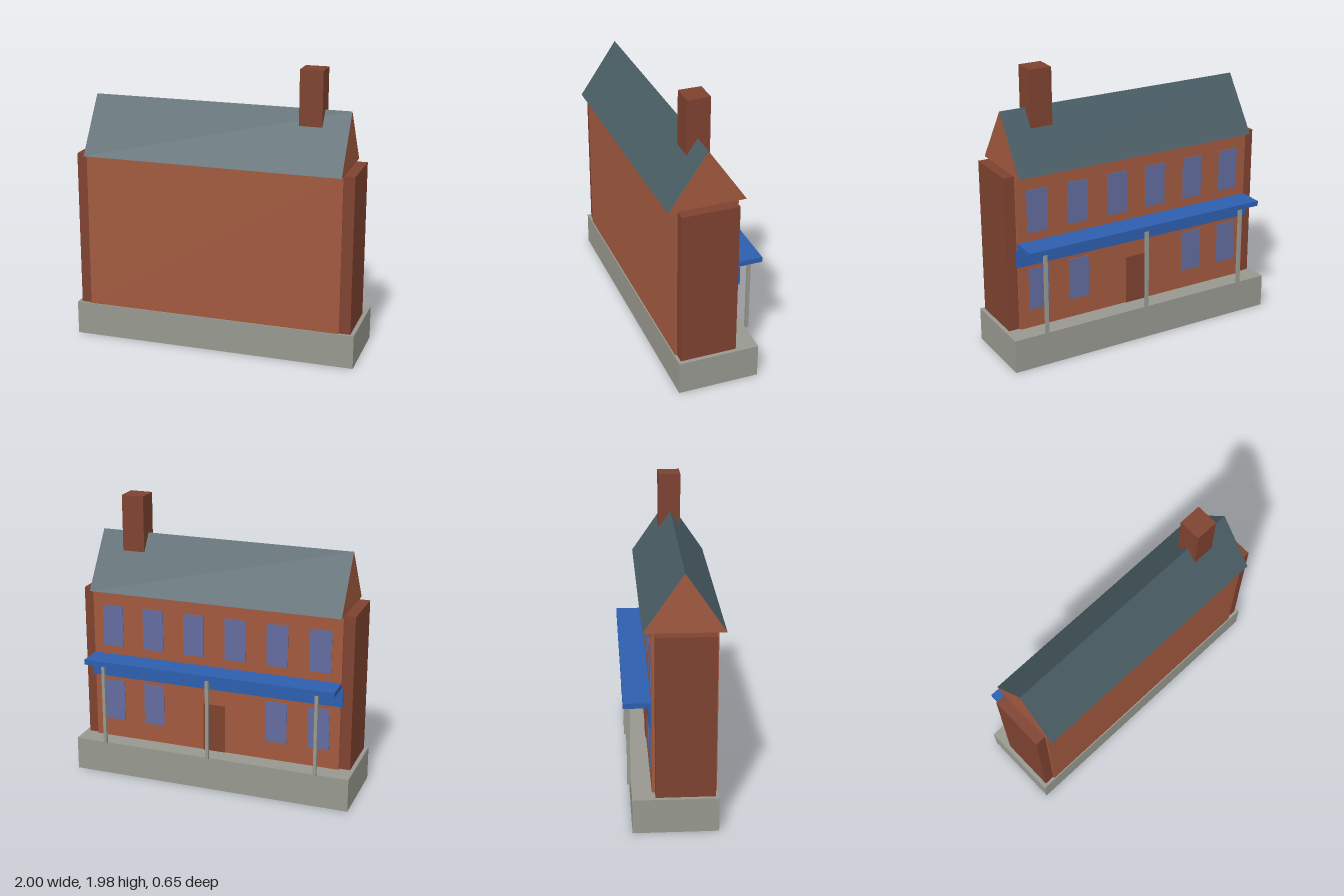
import * as THREE from 'three';

function material(name, color, doubleSided = false) {
  const m = new THREE.MeshStandardMaterial({ color });
  m.name = name;
  if (doubleSided) m.side = THREE.DoubleSide;
  return m;
}

// Box given by its [min, max] range on each axis; open boxes have no bottom face
function box(name, mat, [x0, x1], [y0, y1], [z0, z1], open = false) {
  const geo = new THREE.BoxGeometry(x1 - x0, y1 - y0, z1 - z0);
  if (open) {
    const index = Array.from(geo.index.array);
    index.splice(18, 6);
    geo.setIndex(index);
    geo.clearGroups();
  }
  const mesh = new THREE.Mesh(geo, mat);
  mesh.position.set((x0 + x1) / 2, (y0 + y1) / 2, (z0 + z1) / 2);
  mesh.name = name;
  return mesh;
}

// Flat surface from corner points, fanned from the first one
function panel(name, mat, corners) {
  const geo = new THREE.BufferGeometry();
  geo.setAttribute('position', new THREE.Float32BufferAttribute(corners.flat(), 3));
  geo.setIndex(corners.length === 4 ? [0, 1, 2, 0, 2, 3] : [0, 1, 2]);
  geo.computeVertexNormals();
  const mesh = new THREE.Mesh(geo, mat);
  mesh.name = name;
  return mesh;
}

export function createModel() {
  const model = new THREE.Group();
  model.name = 'brickBuilding';

  const brick = material('brick', 0xa1593e, true);
  const darkBrick = material('dark brick', 0x7e4230);
  const stone = material('grey stone', 0x97988f, true);
  const slate = material('slate', 0x495d64, true);
  const blue = material('blue paint', 0x2d5eae, true);
  const glass = material('window glass', 0x626b9e);

  // Hollow plinth, main block and end walls
  const floor = 0.235, eaves = 1.325, back = -0.145, half = 0.897;
  model.add(box('plinth', stone, [-1, 1], [0, floor], [-0.275, 0.283], true));
  model.add(box('mainBlock', brick, [-half, half], [floor, eaves], [back, 0.275]));
  for (const s of [-1, 1]) {
    const xs = [s * half, s * 0.972].sort((a, b) => a - b);
    model.add(box(s > 0 ? 'leftEndWall' : 'rightEndWall', darkBrick, xs, [floor, eaves], [-0.125, 0.262]));
  }

  // Pitched roof, open underneath, with brick gables
  const roof = new THREE.Group();
  roof.name = 'roof';
  const ridge = 1.708, ridgeZ = 0.063, frontZ = 0.325, backZ = -0.2;
  roof.add(panel('frontSlope', slate, [
    [-half, eaves, frontZ], [half, eaves, frontZ], [half, ridge, ridgeZ], [-half, ridge, ridgeZ]]));
  roof.add(panel('backSlope', slate, [
    [half, eaves, backZ], [-half, eaves, backZ], [-half, ridge, ridgeZ], [half, ridge, ridgeZ]]));
  roof.add(panel('leftGable', brick, [
    [half, eaves, frontZ], [half, eaves, backZ], [half, ridge, ridgeZ]]));
  roof.add(panel('rightGable', brick, [
    [-half, eaves, backZ], [-half, eaves, frontZ], [-half, ridge, ridgeZ]]));
  model.add(roof);
  model.add(box('chimney', darkBrick, [0.56, 0.717], [1.5, 1.977], [-0.02, 0.135]));

  // Windows and door on the back wall
  const wall = [back - 0.005, back];
  const addWindow = (x, y0) =>
    model.add(box('window', glass, [x - 0.075, x + 0.075], [y0, y0 + 0.295], wall));
  for (let i = 0; i < 6; i++) {
    const x = -0.75 + i * 0.3;
    addWindow(x, 0.925);
    if (Math.abs(x) > 0.3) addWindow(x, 0.37);
  }
  model.add(box('door', darkBrick, [-0.08, 0.08], [floor, 0.58], wall));

  // Canopy, fascia board and posts
  model.add(box('canopy', blue, [-half, half], [0.827, 0.862], [-0.325, back], true));
  model.add(box('fasciaBoard', blue, [-0.913, 0.913], [0.7, 0.827], [-0.164, back - 0.001]));
  for (const x of [-0.77, 0, 0.77]) {
    model.add(box('canopyPost', stone, [x - 0.011, x + 0.011], [floor, 0.827], [-0.3, -0.278]));
  }
  return model;
}
